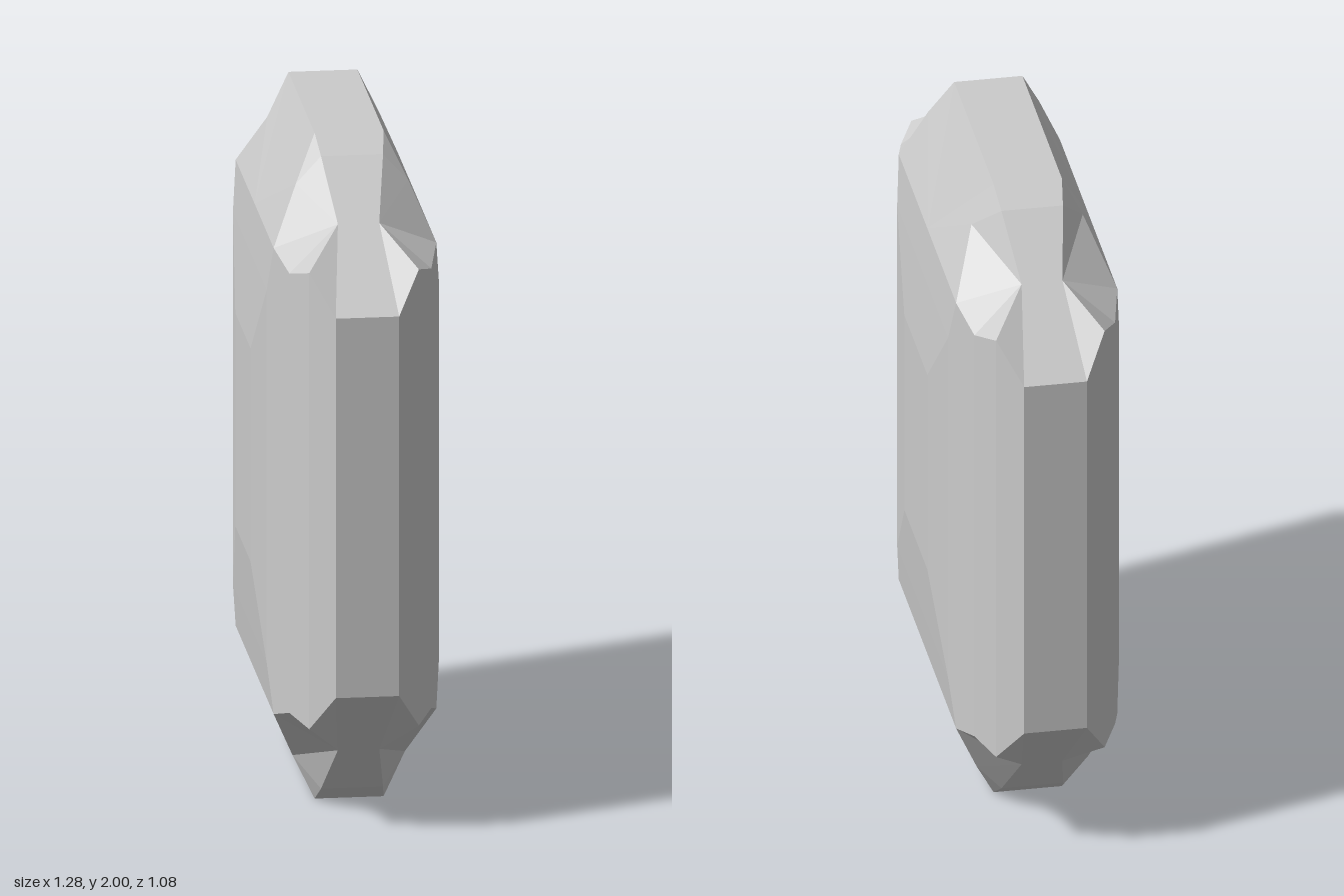
import * as THREE from 'three';

// Key points of one eighth of the faceted slab: x = half width, y = half height, z = half thickness
const PANEL = [0.18, 0.32, 0.27];
const STEP = [0.4, 0.56, 0.25];
const SHOULDER = [0.45, 0.7, 0.236];
const BEVEL = [0.577, 0.66, 0.206];
const RIM = [0.665, 0.685, 0.159];
const SIDE = [0.747, 0.57, 0.092];
const NOTCH = [0.535, 0.79, 0.06];
const EDGE = [0.38, 0.95, 0.09];
const TOP = [0.31, 1.0, 0.1];
const CUT = [0.3, 0.87, 0.163];
const UNCUT = [0.38, 0.87, 0.163];

// Projections onto the symmetry planes
const midX = (p) => [0, p[1], p[2]];
const midY = (p) => [p[0], 0, p[2]];
const midZ = (p) => [p[0], p[1], 0];

function eighthFaces(mid) {
  const faces = [
    // raised central panel
    [[0, 0, PANEL[2]], midY(PANEL), PANEL, midX(PANEL)],
    // sloped end band and flat end
    [midX(SHOULDER), SHOULDER, mid, TOP, midX(TOP)],
    [midX(TOP), TOP, midZ(TOP), [0, TOP[1], 0]],
    // notched corner
    [SHOULDER, BEVEL, NOTCH],
    [BEVEL, RIM, NOTCH],
    [RIM, SIDE, NOTCH],
    [SHOULDER, NOTCH, mid],
    [mid, NOTCH, EDGE],
    [mid, EDGE, TOP],
    // narrow rim across the thickness
    [midY(SIDE), [SIDE[0], 0, 0], midZ(SIDE), SIDE],
    [SIDE, midZ(SIDE), midZ(NOTCH), NOTCH],
    [NOTCH, midZ(NOTCH), midZ(EDGE), EDGE],
    [EDGE, midZ(EDGE), midZ(TOP), TOP],
  ];
  // long bevel strips down the sides
  const strip = [PANEL, STEP, SHOULDER, BEVEL, RIM, SIDE];
  for (let i = 0; i < strip.length - 1; i++) {
    const a = strip[i], b = strip[i + 1];
    faces.push([midY(a), midY(b), b, a]);
  }
  // stepped bevels above the panel
  faces.push([PANEL, STEP, midX(STEP), midX(PANEL)]);
  faces.push([STEP, SHOULDER, midX(SHOULDER), midX(STEP)]);
  return faces;
}

function slabGeometry() {
  const positions = [];
  const ab = new THREE.Vector3(), ac = new THREE.Vector3();
  for (const sx of [1, -1]) for (const sy of [1, -1]) for (const sz of [1, -1]) {
    // deeper cuts sit on diagonally opposite corners
    for (const face of eighthFaces(sx * sy < 0 ? CUT : UNCUT)) {
      const pts = face.map((p) => new THREE.Vector3(p[0] * sx, p[1] * sy, p[2] * sz));
      for (let i = 1; i < pts.length - 1; i++) {
        const a = pts[0];
        let b = pts[i], c = pts[i + 1];
        // turn every facet outwards
        ab.subVectors(b, a);
        ac.subVectors(c, a);
        if (ab.cross(ac).dot(a) < 0) [b, c] = [c, b];
        for (const p of [a, b, c]) positions.push(p.x, p.y, p.z);
      }
    }
  }
  const geometry = new THREE.BufferGeometry();
  geometry.setAttribute('position', new THREE.Float32BufferAttribute(positions, 3));
  geometry.computeVertexNormals();
  return geometry;
}

export function createModel() {
  const group = new THREE.Group();
  const material = new THREE.MeshStandardMaterial({ color: 0xcccccc, flatShading: true });
  const stone = new THREE.Mesh(slabGeometry(), material);
  stone.name = 'facetedStone';
  stone.position.y = 1;
  stone.rotation.y = -0.681; // stands diagonally
  group.add(stone);
  return group;
}
